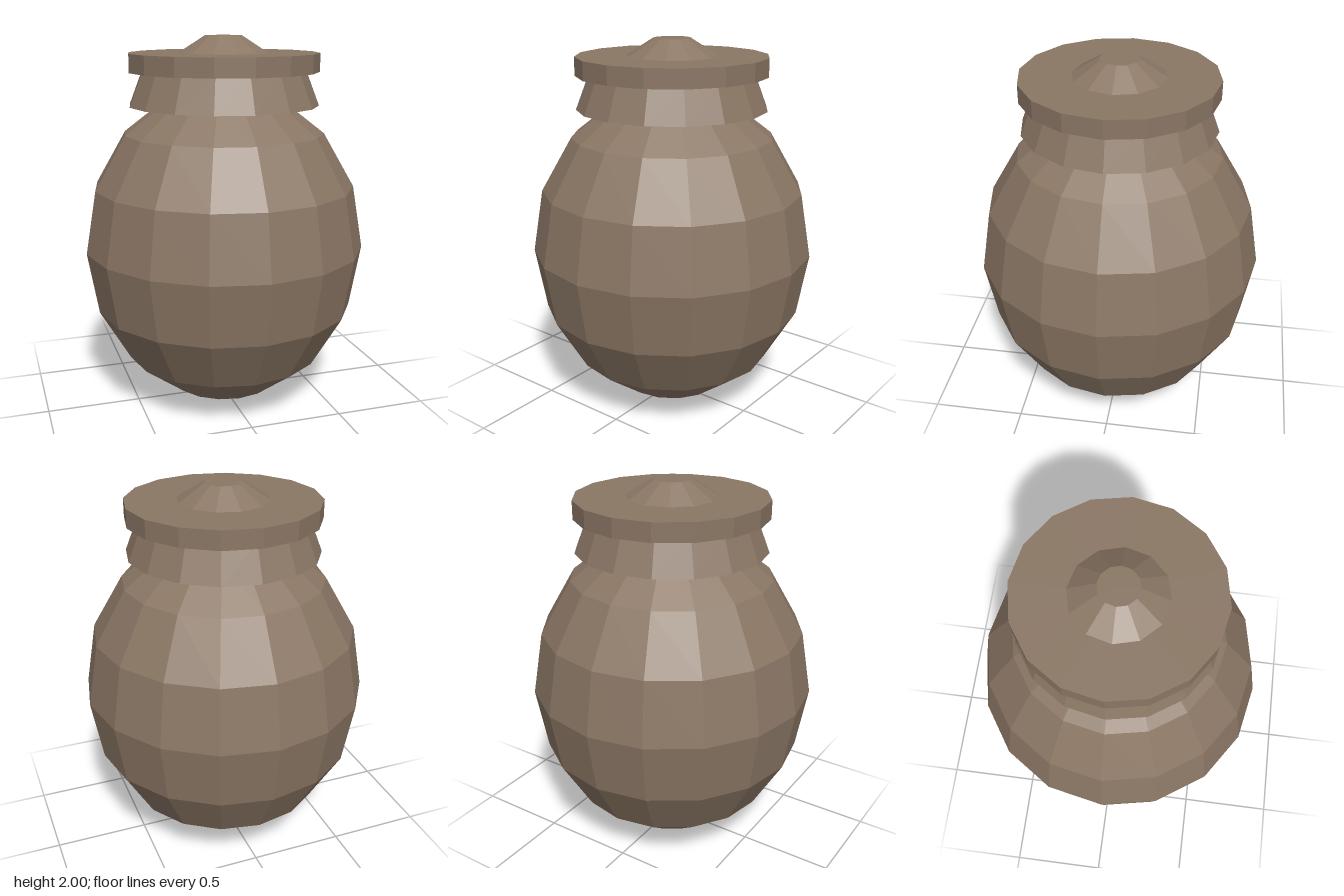
import * as THREE from 'three';

export function createModel() {
  const group = new THREE.Group();
  const clay = new THREE.MeshStandardMaterial({ color: 0x8b7765, flatShading: true });

  const add = (name, geometry, y) => {
    const mesh = new THREE.Mesh(geometry, clay);
    mesh.name = name;
    mesh.position.y = y;
    group.add(mesh);
    return mesh;
  };

  // Closed ring or disc between two heights
  const tier = (name, rTop, rBottom, y0, y1, sides) =>
    add(name, new THREE.CylinderGeometry(rTop, rBottom, y1 - y0, sides), (y0 + y1) / 2);

  // Egg-shaped belly: a faceted sphere stretched upward
  const body = new THREE.SphereGeometry(0.757, 16, 8);
  body.scale(1, 0.873 / 0.757, 1);
  add('body', body, 0.877);

  // Flared collar, flat lid and its low knob
  tier('neck', 0.435, 0.505, 1.64, 1.82, 16);
  tier('lid', 0.505, 0.505, 1.815, 1.912, 16);
  tier('knob', 0.1, 0.243, 1.91, 2.0, 12);

  return group;
}
